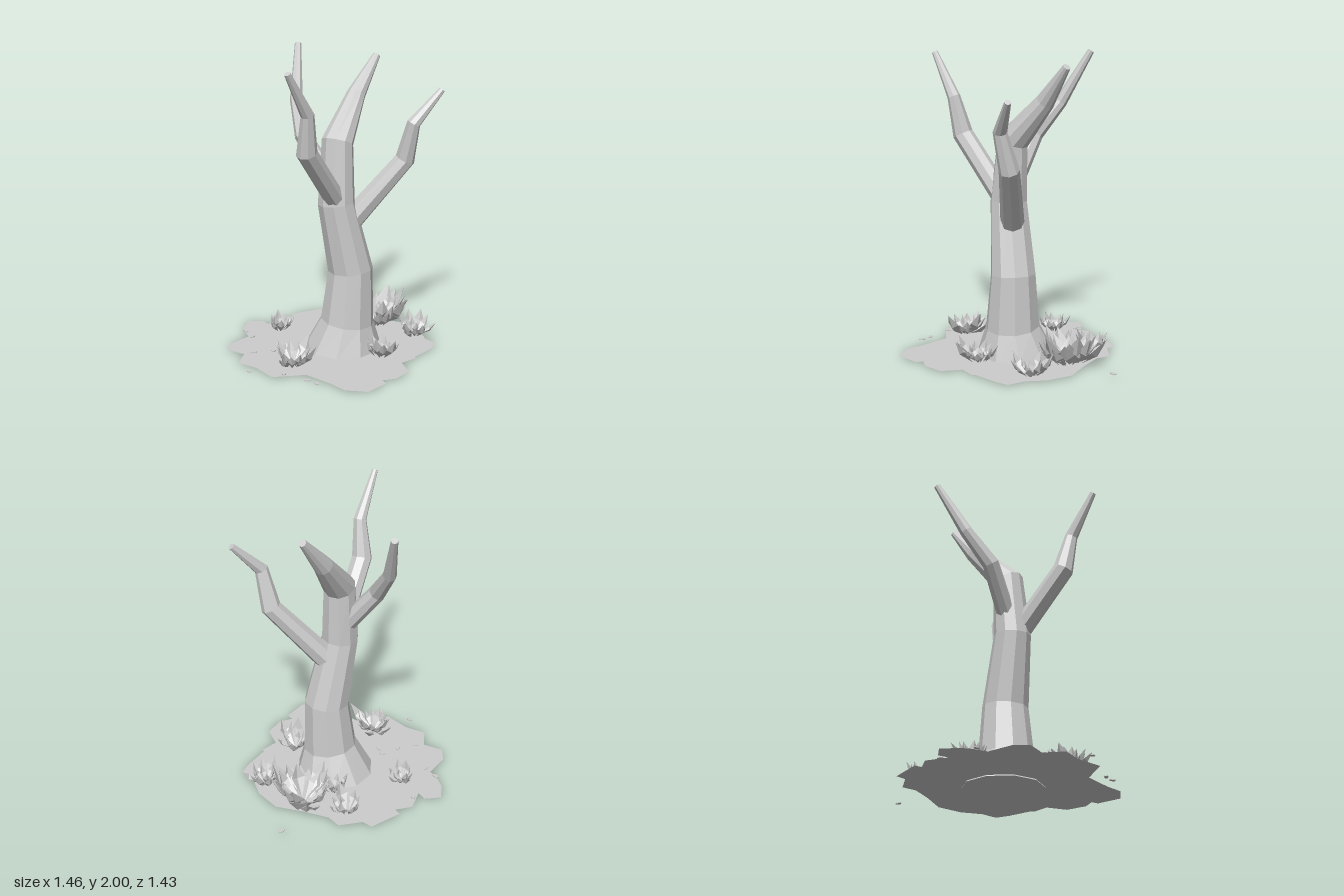
import * as THREE from 'three';

// small seeded random generator
function seeded(seed) {
  return () => {
    seed = (seed * 1664525 + 1013904223) % 4294967296;
    return seed / 4294967296;
  };
}

// faceted limb: rings [x, y, z, radius] joined along a bent path, closed at both ends
function limbGeometry(rings, sides) {
  const centres = rings.map(r => new THREE.Vector3(r[0], r[1], r[2]));
  const last = rings.length - 1;
  const turn = new THREE.Quaternion();
  const positions = [], index = [];
  let previous = new THREE.Vector3(0, 1, 0);
  centres.forEach((c, i) => {
    const tangent = new THREE.Vector3();
    if (i > 0) tangent.add(c.clone().sub(centres[i - 1]).normalize());
    if (i < last) tangent.add(centres[i + 1].clone().sub(c).normalize());
    tangent.normalize();
    if (i === 0 && c.y === 0) tangent.set(0, 1, 0);
    turn.premultiply(new THREE.Quaternion().setFromUnitVectors(previous, tangent));
    previous = tangent;
    for (let s = 0; s < sides; s++) {
      const a = ((s + 0.5) / sides) * Math.PI * 2;
      const p = new THREE.Vector3(Math.cos(a), 0, Math.sin(a)).multiplyScalar(rings[i][3]);
      positions.push(...p.applyQuaternion(turn).add(c).toArray());
    }
  });
  for (let i = 0; i < last; i++) {
    for (let s = 0; s < sides; s++) {
      const a = i * sides + s, b = i * sides + ((s + 1) % sides);
      index.push(a, a + sides, b, b, a + sides, b + sides);
    }
  }
  for (let s = 1; s < sides - 1; s++) {
    index.push(0, s, s + 1);
    index.push(last * sides, last * sides + s + 1, last * sides + s);
  }
  const g = new THREE.BufferGeometry();
  g.setAttribute('position', new THREE.Float32BufferAttribute(positions, 3));
  g.setIndex(index);
  const flat = g.toNonIndexed();
  flat.computeVertexNormals();
  return flat;
}

// folded kite-shaped leaf of unit length growing along +y
function leafGeometry() {
  const base = [0, 0, 0], tip = [0, 1, -0.05];
  const left = [-0.18, 0.6, 0], right = [0.18, 0.6, 0], ridge = [0, 0.55, 0.13];
  const faces = [base, ridge, left, base, right, ridge, left, ridge, tip, ridge, right, tip];
  const g = new THREE.BufferGeometry();
  g.setAttribute('position', new THREE.Float32BufferAttribute(faces.flat(), 3));
  g.computeVertexNormals();
  return g;
}

export function createModel() {
  const group = new THREE.Group();
  const grey = new THREE.MeshStandardMaterial({
    color: 0xcccccc, flatShading: true, side: THREE.DoubleSide,
  });
  grey.name = 'plain grey';

  const add = (name, geometry, parent = group) => {
    const mesh = new THREE.Mesh(geometry, grey);
    mesh.name = name;
    parent.add(mesh);
    return mesh;
  };

  // trunk bending over into the main limb
  add('trunk', limbGeometry([
    [0.03, 0, -0.04, 0.265], [0.05, 0.2, -0.005, 0.18], [0.07, 0.56, 0, 0.15],
    [-0.03, 1.03, -0.01, 0.122], [-0.01, 1.43, -0.03, 0.105],
    [0.2, 1.7, -0.165, 0.062], [0.385, 1.935, -0.225, 0.025],
  ], 10));

  // side branches
  add('rightBranch', limbGeometry([
    [-0.04, 1.04, 0.02, 0.07], [-0.34, 1.44, 0.19, 0.068],
    [-0.36, 1.69, 0.245, 0.043], [-0.525, 1.97, 0.315, 0.02],
  ], 8));
  add('leftBranch', limbGeometry([
    [0.08, 0.91, 0.01, 0.078], [0.385, 1.31, 0.16, 0.066],
    [0.405, 1.56, 0.23, 0.045], [0.595, 1.765, 0.258, 0.021],
  ], 8));
  add('backBranch', limbGeometry([
    [-0.05, 1.17, -0.07, 0.062], [-0.15, 1.44, -0.25, 0.056],
    [-0.115, 1.65, -0.42, 0.043], [-0.016, 1.99, -0.59, 0.022],
  ], 8));

  // ragged ground patch, outline in x and z
  const outline = [
    [-0.37, -0.72], [-0.27, -0.67], [-0.27, -0.6], [-0.15, -0.69], [-0.04, -0.65], [-0.04, -0.7],
    [0.19, -0.7], [0.21, -0.63], [0.36, -0.57], [0.37, -0.47], [0.47, -0.33], [0.6, -0.18],
    [0.62, 0], [0.58, 0.14], [0.6, 0.26], [0.52, 0.31], [0.35, 0.38], [0.35, 0.4], [0.23, 0.42],
    [0.2, 0.56], [0.07, 0.62], [-0.02, 0.6], [-0.02, 0.65], [-0.18, 0.71], [-0.3, 0.62],
    [-0.33, 0.5], [-0.41, 0.3], [-0.62, 0.23], [-0.65, 0.05], [-0.72, -0.08], [-0.63, -0.19],
    [-0.7, -0.31], [-0.64, -0.4], [-0.48, -0.46], [-0.47, -0.55], [-0.45, -0.62],
  ];
  const patch = new THREE.Shape(outline.map(([x, z]) => new THREE.Vector2(x, -z)));
  add('groundPatch', new THREE.ShapeGeometry(patch).rotateX(-Math.PI / 2).translate(0, 0.008, 0));

  // leafy tufts: x, z, reach, number of leaves, height
  const random = seeded(11);
  const leaf = leafGeometry();
  const tufts = [
    [-0.43, 0.14, 0.2, 24, 0.2], [-0.25, -0.44, 0.13, 16, 0.18], [0.42, -0.25, 0.27, 30, 0.28],
    [0.53, 0.07, 0.16, 17, 0.19], [0.25, -0.5, 0.13, 14, 0.19], [0.15, 0.28, 0.15, 18, 0.18],
    [0.2, -0.27, 0.13, 10, 0.2],
  ];
  for (const [x, z, reach, count, height] of tufts) {
    const tuft = new THREE.Group();
    tuft.name = 'leafTuft';
    tuft.position.set(x, 0.02, z);
    group.add(tuft);
    for (let i = 0; i < count; i++) {
      const turn = (i * 2.4) + random() * 0.5;
      const size = 0.55 + 0.45 * random();
      const out = reach * size * (0.45 + 0.5 * random());
      const up = height * size * (0.5 + 0.4 * random());
      const start = reach * 0.3 * random();
      const length = Math.hypot(out, up);
      const mesh = add('leaf', leaf, tuft);
      mesh.rotation.set(Math.atan2(out, up), turn, 0, 'YXZ');
      mesh.position.set(Math.sin(turn) * start, 0, Math.cos(turn) * start);
      mesh.scale.set(length * 1.1, length, length);
    }
  }

  // thin pebbles scattered around the edge
  const pebbles = [
    [-0.47, -0.53], [-0.47, -0.42], [-0.57, -0.17], [-0.44, -0.13], [-0.32, -0.12], [-0.72, 0.1],
    [-0.54, 0.24], [-0.45, 0.4], [-0.42, 0.47], [-0.21, -0.62], [0.7, -0.42], [-0.33, -0.06],
  ];
  for (const [x, z] of pebbles) {
    const pebble = add('pebble', new THREE.CylinderGeometry(0.02, 0.02, 0.006, 6));
    pebble.position.set(x, 0.02, z);
    pebble.rotation.y = random() * 3;
    pebble.scale.set(1.2, 1, 0.7);
  }
  return group;
}
